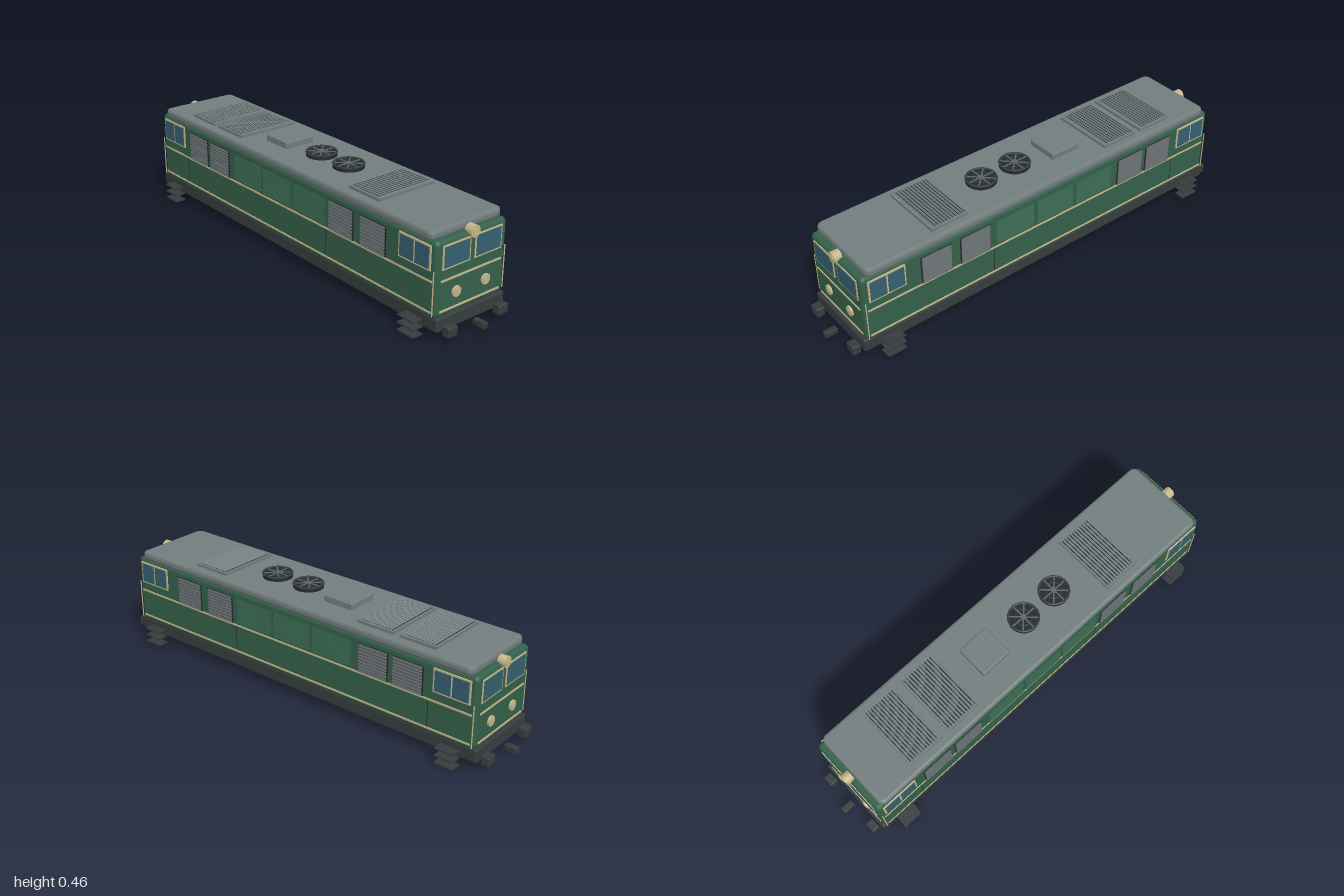
import * as THREE from 'three';
import { RoundedBoxGeometry } from 'three/addons/geometries/RoundedBoxGeometry.js';

const mat = (name, color) => {
  const m = new THREE.MeshStandardMaterial({ color });
  m.name = name;
  return m;
};

export function createModel() {
  const green = mat('bodyGreen', 0x34604a);
  const grey = mat('roofGrey', 0x727d7d);
  const dark = mat('frameDark', 0x363c3d);
  const black = mat('ventBlack', 0x23282a);
  const slatGrey = mat('slatGrey', 0x5f6668);
  const cream = mat('trimCream', 0xc6b78a);
  const glass = mat('windowBlue', 0x35606f);

  const root = new THREE.Group();
  root.name = 'locomotive';

  const add = (name, geo, material, x, y, z, parent = root) => {
    const m = new THREE.Mesh(geo, material);
    m.name = name;
    m.position.set(x, y, z);
    parent.add(m);
    return m;
  };
  // Box given by its limits on each axis
  const box = (name, material, x0, x1, y0, y1, z0, z1, parent = root) =>
    add(name, new THREE.BoxGeometry(x1 - x0, y1 - y0, z1 - z0), material,
      (x0 + x1) / 2, (y0 + y1) / 2, (z0 + z1) / 2, parent);
  const rounded = (name, material, x0, x1, y0, y1, z0, z1, r, parent = root) =>
    add(name, new RoundedBoxGeometry(x1 - x0, y1 - y0, z1 - z0, 3, r), material,
      (x0 + x1) / 2, (y0 + y1) / 2, (z0 + z1) / 2, parent);

  // Underframe and body shell
  rounded('underframe', dark, -0.925, 0.925, 0.04, 0.1, -0.18, 0.18, 0.008);
  rounded('bodyShell', green, -0.912, 0.912, 0.092, 0.402, -0.184, 0.184, 0.02);

  // Roof slab: rounded plan with bevelled edges
  const rx = 0.873, rz = 0.173, rr = 0.015;
  const plan = new THREE.Shape();
  plan.absarc(rx - rr, rz - rr, rr, 0, Math.PI / 2);
  plan.absarc(-rx + rr, rz - rr, rr, Math.PI / 2, Math.PI);
  plan.absarc(-rx + rr, -rz + rr, rr, Math.PI, Math.PI * 1.5);
  plan.absarc(rx - rr, -rz + rr, rr, Math.PI * 1.5, Math.PI * 2);
  const slab = new THREE.ExtrudeGeometry(plan, {
    depth: 0.014, bevelThickness: 0.012, bevelSize: 0.012, bevelSegments: 2, curveSegments: 4,
  });
  slab.rotateX(-Math.PI / 2);
  add('roof', slab, grey, 0, 0.407, 0);

  // Slatted roof vents
  for (const [x0, x1] of [[-0.7, -0.53], [-0.5, -0.325], [0.39, 0.565]]) {
    const vent = new THREE.Group();
    vent.name = 'roofVent';
    root.add(vent);
    box('ventBase', grey, x0, x1, 0.43, 0.445, -0.145, 0.145, vent);
    const n = 11, step = (x1 - x0 - 0.02) / n;
    for (let i = 0; i < n; i++) {
      const x = x0 + 0.01 + (i + 0.5) * step;
      box('ventGap', black, x - step / 2, x - step / 2 + 0.004, 0.44, 0.446, -0.135, 0.135, vent);
      const s = box('ventSlat', grey, x - 0.004, x + 0.006, 0.445, 0.448, -0.135, 0.135, vent);
      s.rotation.z = 0.45;
    }
  }

  // Roof hatch
  rounded('roofHatch', grey, -0.242, -0.098, 0.43, 0.461, -0.073, 0.073, 0.006);

  // Roof fans: dark well, rim, spokes and hub
  for (const x of [0.047, 0.22]) {
    const fan = new THREE.Group();
    fan.name = 'roofFan';
    fan.position.set(x, 0, 0);
    root.add(fan);
    add('fanWell', new THREE.CylinderGeometry(0.064, 0.066, 0.018, 32), black, 0, 0.439, 0, fan);
    for (const r of [0.063, 0.036]) {
      const ring = add('fanRing', new THREE.TorusGeometry(r, r > 0.05 ? 0.005 : 0.002, 6, 32), dark, 0, 0.449, 0, fan);
      ring.rotation.x = Math.PI / 2;
    }
    for (let i = 0; i < 4; i++) {
      const spoke = box('fanSpoke', slatGrey, -0.06, 0.06, 0.447, 0.451, -0.003, 0.003, fan);
      spoke.rotation.y = (i * Math.PI) / 4;
    }
    add('fanHub', new THREE.CylinderGeometry(0.012, 0.012, 0.006, 16), slatGrey, 0, 0.451, 0, fan);
  }

  // Framed louvre panel with angled slats, facing +z
  const louvre = (parent, name, x0, x1, y0, y1, back, slat, count, depth) => {
    const g = new THREE.Group();
    g.name = name;
    parent.add(g);
    box('louvreBack', back, x0, x1, y0, y1, 0.178, 0.186, g);
    const step = (y1 - y0) / count;
    for (let i = 0; i < count; i++) {
      const s = box('louvreSlat', slat, x0 + 0.004, x1 - 0.004, 0, step * 0.75, 0, 0.003, g);
      s.position.set((x0 + x1) / 2, y0 + (i + 0.5) * step, 0.184 + depth);
      s.rotation.x = -0.5;
    }
  };

  // Long sides, the back one mirrored by turning each half about y
  for (const s of [1, -1]) {
    const side = new THREE.Group();
    side.name = s > 0 ? 'frontSide' : 'backSide';
    if (s < 0) side.rotation.y = Math.PI;
    root.add(side);
    // Put a span of model x into this side's own frame
    const span = (a, b) => (s > 0 ? [a, b] : [-b, -a]);

    box('upperStripe', cream, -0.895, 0.895, 0.238, 0.246, 0.18, 0.1865, side);
    box('lowerStripe', cream, -0.895, 0.895, 0.113, 0.121, 0.18, 0.1865, side);

    for (const [a, b] of [[-0.675, -0.53], [-0.51, -0.365], [0.317, 0.465], [0.505, 0.65]]) {
      louvre(side, 'darkLouvre', ...span(a, b), 0.246, 0.372, black, slatGrey, 9, 0.005);
    }
    for (let i = 0; i < 3; i++) {
      const a = -0.328 + i * 0.21;
      louvre(side, 'greenLouvre', ...span(a, a + 0.2), 0.255, 0.368, green, green, 10, 0.002);
    }
    for (const x of [-0.7, 0.3]) {
      const [a, b] = span(x - 0.0015, x + 0.0015);
      box('panelSeam', black, a, b, 0.122, 0.237, 0.18, 0.1845, side);
    }

    // Cab side windows and corner handrails
    for (const e of [1, -1]) {
      box('sideWindowFrame', cream, e * 0.804 - 0.083, e * 0.804 + 0.083, 0.283, 0.384, 0.18, 0.189, side);
      for (const d of [-0.04, 0.04]) {
        const c = e * 0.804 + d;
        box('sideWindowPane', glass, c - 0.036, c + 0.036, 0.29, 0.377, 0.183, 0.191, side);
      }
      add('handrail', new THREE.CylinderGeometry(0.0025, 0.0025, 0.18, 8), cream, e * 0.904, 0.195, 0.187, side);
    }
  }

  // Cab ends, built facing +x and turned for the other end
  for (const e of [1, -1]) {
    const end = new THREE.Group();
    end.name = e > 0 ? 'leftCabEnd' : 'rightCabEnd';
    if (e < 0) end.rotation.y = Math.PI;
    root.add(end);

    box('endUpperStripe', cream, 0.906, 0.915, 0.237, 0.245, -0.157, 0.157, end);
    box('endLowerStripe', cream, 0.906, 0.915, 0.113, 0.121, -0.157, 0.157, end);

    const lamp = (name, y, z, r, x1) => {
      const l = add(name, new THREE.CylinderGeometry(r, r, x1 - 0.89, 24), cream, (x1 + 0.89) / 2, y, z, end);
      l.rotation.z = -Math.PI / 2;
      const lens = add(name + 'Lens', new THREE.CylinderGeometry(r * 0.6, r * 0.6, 0.004, 24), cream, x1 + 0.001, y, z, end);
      lens.rotation.z = -Math.PI / 2;
    };
    lamp('topHeadlight', 0.399, 0, 0.024, 0.924);

    for (const s of [1, -1]) {
      const c = s * 0.0825;
      box('windscreenFrame', cream, 0.906, 0.915, 0.285, 0.383, c - 0.071, c + 0.071, end);
      box('windscreenPane', glass, 0.909, 0.917, 0.292, 0.376, c - 0.064, c + 0.064, end);
      lamp('lowerHeadlight', 0.18, s * 0.077, 0.022, 0.92);
      rounded('buffer', dark, 0.93, 0.967, 0.03, 0.072, s * 0.135 - 0.025, s * 0.135 + 0.025, 0.006, end);
      // Three steps on each corner
      for (const y of [0.005, 0.037, 0.069]) {
        box('step', dark, 0.765, 0.85, y - 0.003, y + 0.003, s * 0.2 - 0.025, s * 0.2 + 0.025, end);
      }
    }
    rounded('coupler', dark, 0.945, 1.0, 0.032, 0.056, -0.013, 0.013, 0.003, end);
  }

  // Settle the lowest step on the ground
  root.children.forEach((c) => { c.position.y -= 0.002; });
  return root;
}
